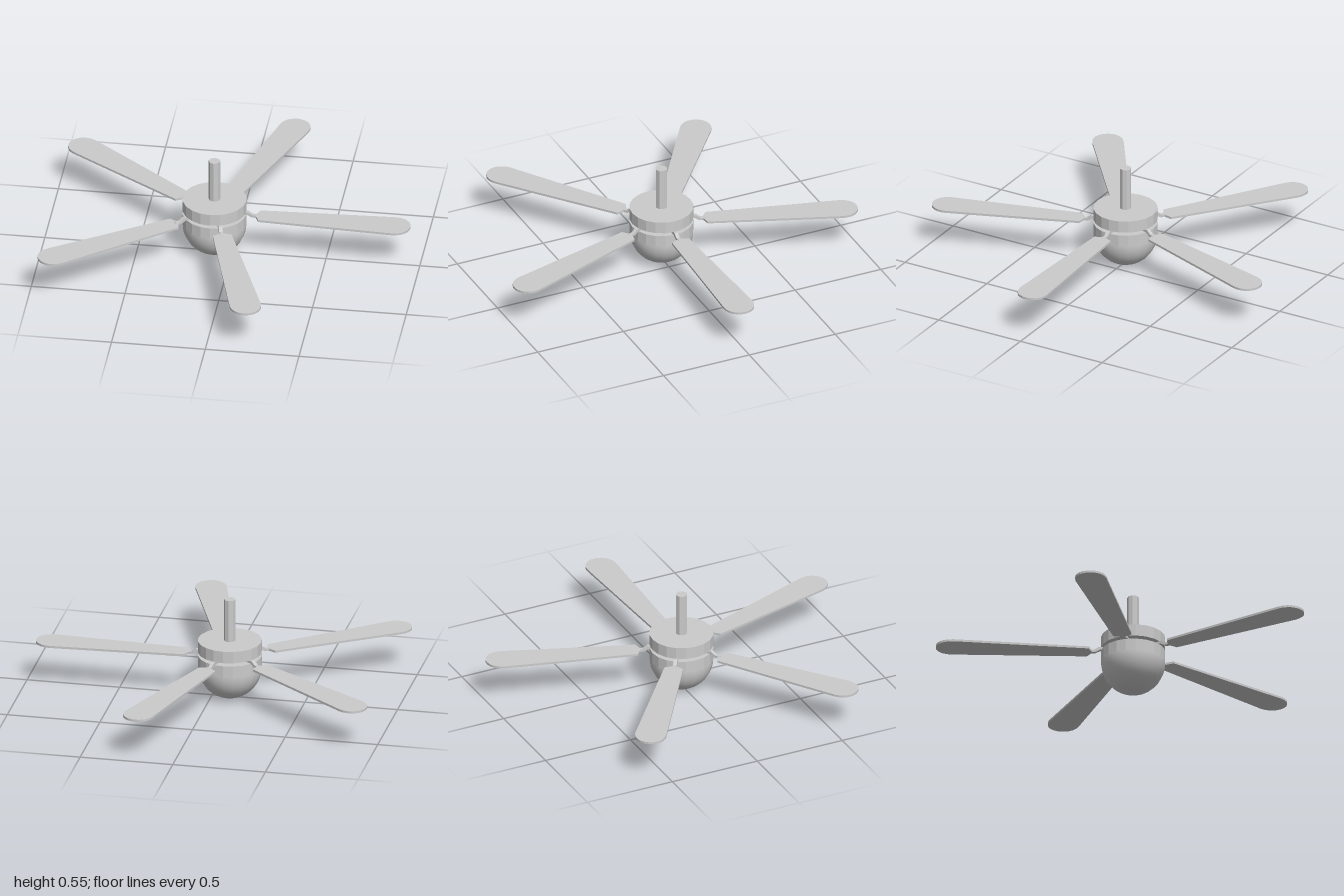
import * as THREE from 'three';

const grey = new THREE.MeshStandardMaterial({ color: 0xcccccc });
const flat = new THREE.MeshStandardMaterial({ color: 0xcccccc, flatShading: true });

function add(parent, name, geometry, material, y = 0) {
  const mesh = new THREE.Mesh(geometry, material);
  mesh.name = name;
  mesh.position.y = y;
  parent.add(mesh);
  return mesh;
}

// Cylinder standing between two heights
function drum(parent, name, radius, y0, y1, sides) {
  return add(parent, name, new THREE.CylinderGeometry(radius, radius, y1 - y0, sides), flat, (y0 + y1) / 2);
}

// Paddle outline: narrow root, widening to a rounded tip
function bladeGeometry() {
  const s = new THREE.Shape();
  s.moveTo(0.222, -0.012);
  s.lineTo(0.24, -0.05);
  s.lineTo(0.955, -0.083);
  s.bezierCurveTo(1.01, -0.083, 1.045, -0.045, 1.045, 0);
  s.bezierCurveTo(1.045, 0.045, 1.01, 0.083, 0.955, 0.083);
  s.lineTo(0.24, 0.05);
  s.lineTo(0.222, 0.012);
  s.closePath();
  const g = new THREE.ExtrudeGeometry(s, { depth: 0.012, bevelEnabled: false, curveSegments: 6 });
  return g.rotateX(-Math.PI / 2);
}

// Side profile of the cranked arm that drops from the motor gap to the blade
function armGeometry() {
  const s = new THREE.Shape([
    [0.095, 0.24], [0.175, 0.24], [0.2, 0.226], [0.235, 0.226],
    [0.235, 0.239], [0.207, 0.239], [0.182, 0.256], [0.095, 0.256],
  ].map(([x, y]) => new THREE.Vector2(x, y)));
  return new THREE.ExtrudeGeometry(s, { depth: 0.02, bevelEnabled: false }).translate(0, 0, -0.01);
}

export function createModel() {
  const model = new THREE.Group();
  model.name = 'ceilingFan';
  const fan = new THREE.Group();
  fan.name = 'fan';
  fan.position.x = -0.095;
  model.add(fan);

  // Hanging rod and motor housing, split by an open gap
  drum(fan, 'rod', 0.031, 0.31, 0.553, 8);
  drum(fan, 'upperHousing', 0.17, 0.255, 0.32, 20);
  drum(fan, 'lowerHousing', 0.17, 0.174, 0.237, 20);

  // Light bowl
  add(fan, 'lightBowl',
    new THREE.SphereGeometry(0.17, 20, 12, 0, Math.PI * 2, Math.PI / 2, Math.PI / 2), grey, 0.174)
    .scale.y = 0.174 / 0.17;

  // Five blades, each on its own arm
  const blade = bladeGeometry();
  const arm = armGeometry();
  for (let i = 0; i < 5; i++) {
    const unit = new THREE.Group();
    unit.name = `bladeUnit${i + 1}`;
    unit.rotation.y = (i * Math.PI * 2) / 5;
    add(unit, 'blade', blade, flat, 0.226);
    add(unit, 'bladeArm', arm, flat);
    fan.add(unit);
  }
  return model;
}
